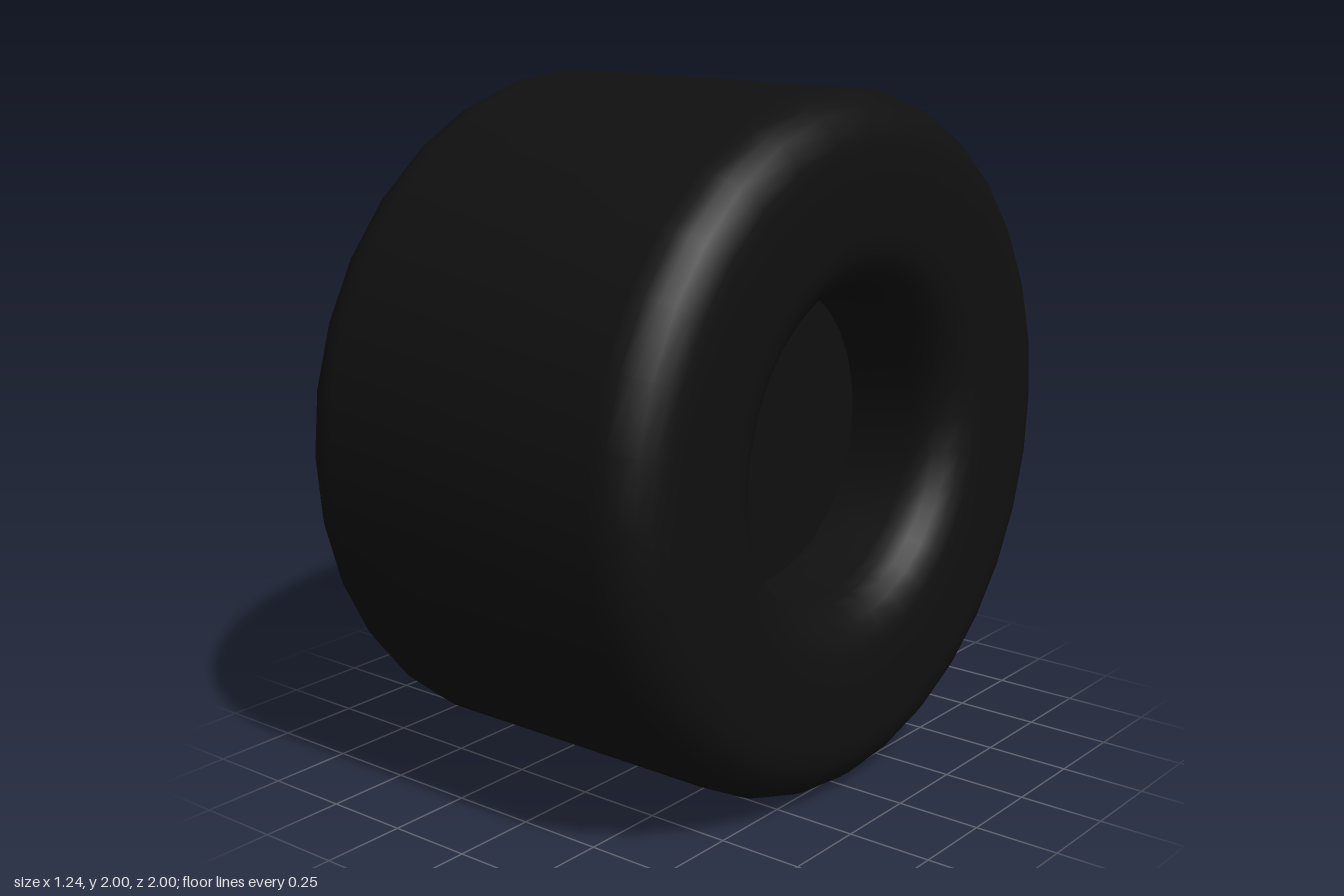
import * as THREE from 'three';
import { toCreasedNormals } from 'three/addons/utils/BufferGeometryUtils.js';

const SEGMENTS = 32;
const black = new THREE.MeshStandardMaterial({ color: 0x101010 });
const copper = new THREE.MeshStandardMaterial({ color: 0xb5603f });

// Points on a quarter-round corner, angles in degrees
function arc(cx, cy, r, from, to, steps = 6) {
  return Array.from({ length: steps + 1 }, (_, i) => {
    const a = THREE.MathUtils.degToRad(from + (to - from) * i / steps);
    return [cx + r * Math.cos(a), cy + r * Math.sin(a)];
  });
}

// Spins a [radius, axial] profile about the axle (x axis)
function spin(name, points, material, crease = 0.7) {
  const profile = points.map(([r, h]) => new THREE.Vector2(r, h));
  const geometry = toCreasedNormals(new THREE.LatheGeometry(profile, SEGMENTS), crease);
  geometry.rotateZ(-Math.PI / 2);
  const mesh = new THREE.Mesh(geometry, material);
  mesh.name = name;
  return mesh;
}

// One swept spoke that flares towards the rim
function spokeGeometry() {
  const s = new THREE.Shape();
  s.moveTo(0.07, -0.04);
  s.quadraticCurveTo(0.25, -0.06, 0.49, 0.0);
  s.lineTo(0.47, 0.15);
  s.quadraticCurveTo(0.28, 0.06, 0.07, 0.04);
  s.closePath();
  const geometry = new THREE.ExtrudeGeometry(s, {
    depth: 0.06, curveSegments: 8,
    bevelEnabled: true, bevelThickness: 0.015, bevelSize: 0.012, bevelSegments: 2,
  });
  // Arch the spoke outwards between hub and rim
  const p = geometry.attributes.position;
  for (let i = 0; i < p.count; i++) {
    const t = Math.hypot(p.getX(i), p.getY(i)) / 0.5;
    p.setZ(i, p.getZ(i) + 0.06 * Math.sin(Math.min(t, 1) * Math.PI));
  }
  geometry.computeVertexNormals();
  return toCreasedNormals(geometry, 0.6);
}

export function createModel() {
  const wheel = new THREE.Group();
  wheel.name = 'wheel';

  // Tyre: outer face, tread and the rounded recess on the inner side
  wheel.add(spin('tyre', [
    [0.6, -0.61], [0.64, -0.62],
    ...arc(0.84, -0.46, 0.16, -90, 0),
    ...arc(0.84, 0.46, 0.16, 0, 90),
    ...arc(0.61, 0.46, 0.16, 90, 180),
    [0.45, 0.24],
  ], black));
  wheel.add(spin('innerCap', [[0.45, 0.25], [0.44, 0.265], [0, 0.265]], black));

  // Rim: copper lip around a dark dish
  wheel.add(spin('rimLip', [
    [0.53, -0.56], [0.545, -0.602], [0.57, -0.618], [0.6, -0.62], [0.625, -0.615],
  ], copper, 1.2));
  wheel.add(spin('rimDish', [
    [0, -0.32], [0.46, -0.32], [0.49, -0.35], [0.5, -0.46], [0.535, -0.57],
  ], black));

  // Hub with a domed nut
  wheel.add(spin('hub', [
    [0, -0.51], [0.04, -0.505], [0.08, -0.48], [0.1, -0.45], [0.14, -0.44], [0.15, -0.32],
  ], black));

  // Spokes, facing the outer side
  const spokes = new THREE.Group();
  spokes.name = 'spokes';
  const geometry = spokeGeometry();
  const count = 7;
  for (let i = 0; i < count; i++) {
    const spoke = new THREE.Mesh(geometry, black);
    spoke.name = 'spoke';
    spoke.rotation.z = Math.PI / 4 + (i / count) * Math.PI * 2;
    spokes.add(spoke);
  }
  spokes.position.x = -0.34;
  spokes.rotation.y = -Math.PI / 2;
  wheel.add(spokes);

  wheel.position.y = 1;
  const model = new THREE.Group();
  model.name = 'wheelModel';
  model.add(wheel);
  return model;
}
